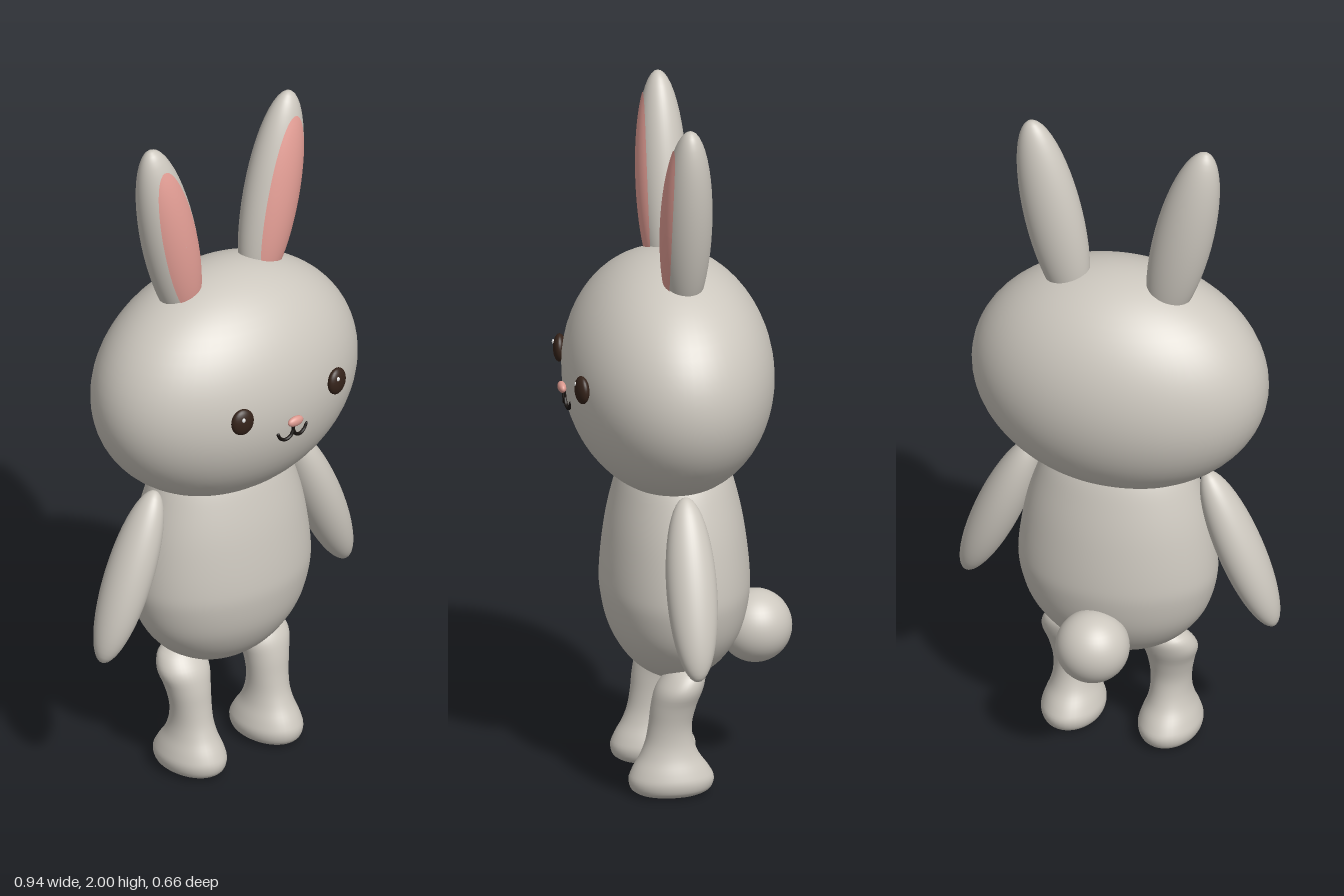
import * as THREE from 'three';

const mat = (name, color, side = THREE.FrontSide) => {
  const m = new THREE.MeshStandardMaterial({ color, side });
  m.name = name;
  return m;
};

// Stacks elliptical rings [y, cx, rx, cz, rz], bottom to top, into a smooth skin
function loft(rings, sides = 40) {
  const curves = [1, 2, 3, 4].map(k => new THREE.CatmullRomCurve3(
    rings.map(r => new THREE.Vector3(r[k], r[0], 0)), false, 'centripetal'));
  const steps = (rings.length - 1) * 4;
  const pos = [], idx = [];
  for (let i = 0; i <= steps; i++) {
    const [cx, rx, cz, rz] = curves.map(c => c.getPoint(i / steps));
    for (let j = 0; j < sides; j++) {
      const a = j / sides * Math.PI * 2;
      pos.push(cx.x + Math.max(rx.x, 0) * Math.cos(a), cx.y, cz.x + Math.max(rz.x, 0) * Math.sin(a));
      if (i < steps) {
        const p = i * sides + j, q = i * sides + (j + 1) % sides;
        idx.push(p, p + sides, q, q, p + sides, q + sides);
      }
    }
  }
  const g = new THREE.BufferGeometry();
  g.setAttribute('position', new THREE.Float32BufferAttribute(pos, 3));
  g.setIndex(idx);
  g.computeVertexNormals();
  return g;
}

// Elliptical face that hugs the front of an ellipsoid with radii r
function innerEarFace(w, h, r) {
  const g = new THREE.RingGeometry(0.001, 1, 48, 12);
  const p = g.attributes.position;
  for (let i = 0; i < p.count; i++) {
    const x = p.getX(i) * w, y = p.getY(i) * h;
    const z = r[2] * Math.sqrt(Math.max(0, 1 - (x / r[0]) ** 2 - (y / r[1]) ** 2));
    p.setXYZ(i, x, y, z + 0.003);
  }
  g.computeVertexNormals();
  return g;
}

export function createModel() {
  const model = new THREE.Group();
  model.name = 'rabbit';
  const fur = mat('greyFur', 0xcdc8bf);
  const pink = mat('earPink', 0xe6a097, THREE.DoubleSide);
  const nosePink = mat('nosePink', 0xdc9a90);
  const brown = mat('eyeBrown', 0x35231a);
  const black = mat('mouthBlack', 0x17120f);
  const white = mat('eyeGlint', 0xffffff);

  const add = (name, geo, material, parent = model) => {
    const m = new THREE.Mesh(geo, material);
    m.name = name;
    parent.add(m);
    return m;
  };
  const ellipsoid = (name, material, [x, y, z], [rx, ry, rz], parent = model, seg = 48) => {
    const m = add(name, new THREE.SphereGeometry(1, seg, seg / 2).scale(rx, ry, rz), material, parent);
    m.position.set(x, y, z);
    return m;
  };

  // Head, torso and tail
  ellipsoid('head', fur, [0, 1.203, 0.018], [0.425, 0.342, 0.292], model, 64);
  const profile = [[0, 0.31], [0.1, 0.326], [0.185, 0.375], [0.25, 0.455], [0.281, 0.55],
    [0.283, 0.63], [0.265, 0.75], [0.237, 0.85], [0.203, 0.93], [0.15, 1.0]];
  const smooth = new THREE.SplineCurve(profile.map(p => new THREE.Vector2(...p))).getPoints(48);
  smooth[0].x = 0;
  add('torso', new THREE.LatheGeometry(smooth, 56).scale(1, 1, 0.73), fur);
  ellipsoid('tail', fur, [0, 0.433, -0.228], [0.104, 0.104, 0.104]);

  // Leg and foot sections
  const legRings = [
    [0.005, 0.142, 0, 0.035, 0], [0.007, 0.142, 0.055, 0.035, 0.085],
    [0.022, 0.142, 0.08, 0.035, 0.112], [0.05, 0.142, 0.088, 0.035, 0.12],
    [0.08, 0.142, 0.081, 0.037, 0.108], [0.12, 0.142, 0.066, 0.04, 0.083],
    [0.16, 0.142, 0.058, 0.04, 0.068], [0.21, 0.143, 0.058, 0.038, 0.061],
    [0.27, 0.146, 0.067, 0.028, 0.064], [0.32, 0.148, 0.078, 0.012, 0.066],
    [0.36, 0.146, 0.064, -0.006, 0.054], [0.385, 0.144, 0.03, -0.014, 0.03],
    [0.39, 0.144, 0, -0.015, 0]];

  const earSize = [0.083, 0.31, 0.071];
  for (const s of [1, -1]) {
    const side = s > 0 ? 'left' : 'right';
    add(side + 'Leg', loft(legRings.map(r => [r[0], r[1] * s, ...r.slice(2)])), fur);

    // Arm slanting outward
    ellipsoid(side + 'Arm', fur, [s * 0.352, 0.68, 0.015], [0.064, 0.258, 0.071]).rotation.z = s * 0.396;

    // Ear with its pink inner face
    const ear = new THREE.Group();
    ear.name = side + 'Ear';
    ear.position.set(s * 0.19, 1.698, 0);
    ear.rotation.z = -s * 0.22;
    model.add(ear);
    ellipsoid(side + 'OuterEar', fur, [0, 0, 0], earSize, ear);
    add(side + 'InnerEar', innerEarFace(0.06, 0.25, earSize), pink, ear);

    // Eye and glint
    ellipsoid(side + 'Eye', brown, [s * 0.175, 1.226, 0.293], [0.035, 0.04, 0.018], model, 32).rotation.y = s * 0.2;
    ellipsoid(side + 'EyeGlint', white, [s * 0.175 - 0.009, 1.241, 0.309], [0.006, 0.007, 0.004], model, 12);

    // Half of the smile
    const lip = new THREE.CatmullRomCurve3([[0, 1.142, 0.309], [0.01, 1.126, 0.308],
      [0.027, 1.12, 0.306], [0.043, 1.127, 0.304], [0.052, 1.143, 0.303]]
      .map(([x, y, z]) => new THREE.Vector3(s * x, y, z)));
    add(side + 'Lip', new THREE.TubeGeometry(lip, 20, 0.005, 8), black);
    ellipsoid(side + 'LipEnd', black, [s * 0.052, 1.143, 0.303], [0.005, 0.005, 0.005], model, 12);
  }

  // Nose and the line below it
  ellipsoid('nose', nosePink, [0, 1.174, 0.318], [0.027, 0.015, 0.012], model, 32);
  add('noseLine', new THREE.CylinderGeometry(0.005, 0.005, 0.03, 8), black).position.set(0, 1.154, 0.309);

  return model;
}
